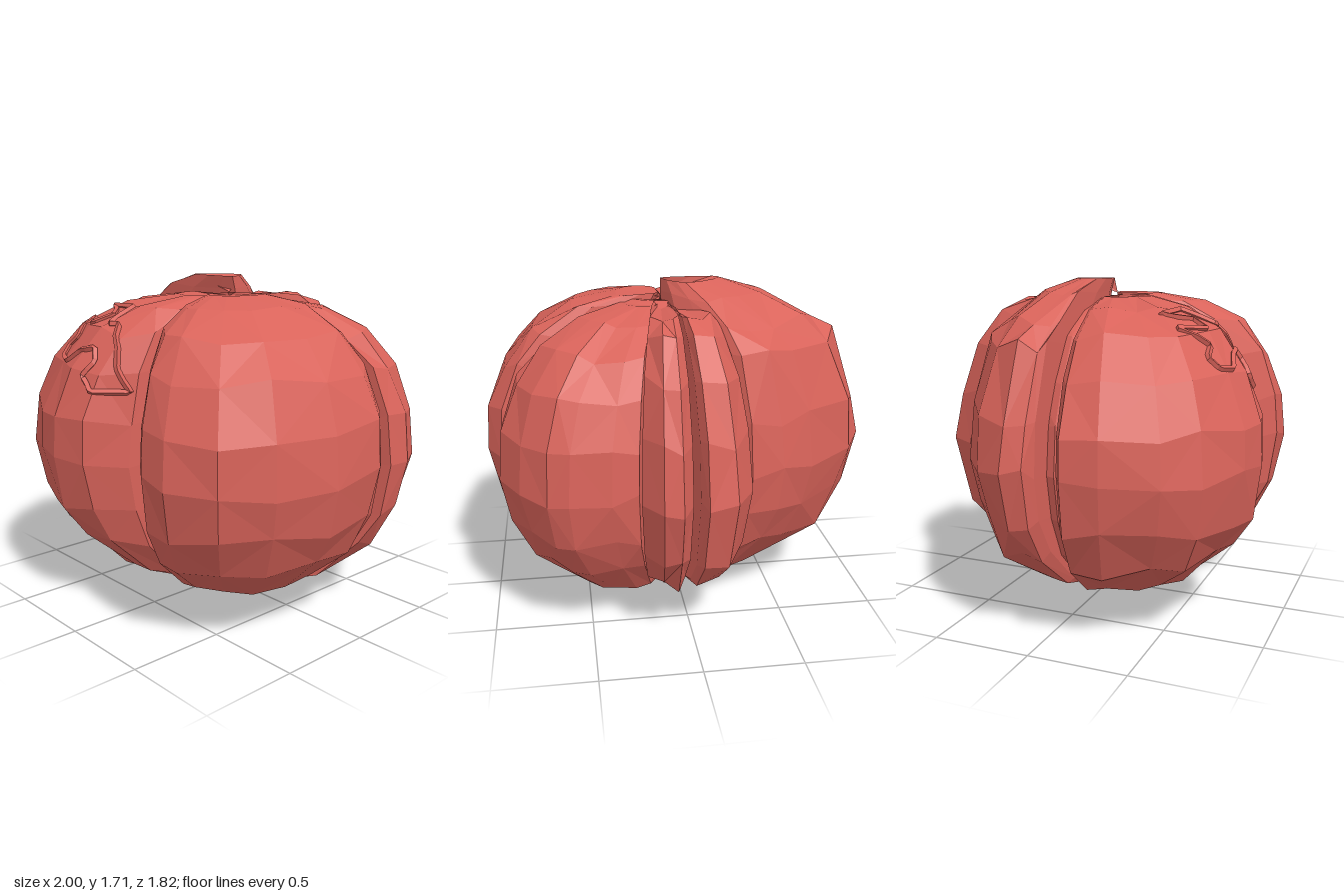
import * as THREE from 'three';

const skin = new THREE.MeshStandardMaterial({ color: 0xd9635a, flatShading: true });
const pivot = [0.07, 0.02];

// [height, scale of the plan outline about the pivot]
const lobeProfile = [[0.02, 0], [0.04, 0.16], [0.18, 0.58], [0.38, 0.83], [0.58, 0.95], [0.82, 1],
  [1.05, 0.98], [1.28, 0.88], [1.46, 0.73], [1.57, 0.5], [1.62, 0.25], [1.6, 0]];
const tallProfile = [[0.03, 0], [0.06, 0.18], [0.19, 0.58], [0.4, 0.84], [0.6, 0.95], [0.85, 1],
  [1.1, 0.97], [1.42, 0.85], [1.53, 0.72], [1.64, 0.5], [1.71, 0.28], [1.63, 0]];
const rearProfile = [[0.25, 0], [0.22, 0.56], [0.3, 0.78], [0.47, 0.92], [0.8, 1], [1.08, 0.95],
  [1.34, 0.83], [1.53, 0.68], [1.6, 0.55], [1.58, 0]];

function seeded(seed) {
  return () => (seed = (seed * 16807) % 2147483647) / 2147483647 - 0.5;
}

// Faceted body: the plan outline (x, z) is scaled about the pivot ring by ring
function segment(name, outline, profile, seed, lift = 0) {
  const rnd = seeded(seed), n = outline.length, pos = [], index = [];
  profile.forEach(([y, s]) => {
    outline.forEach(([x, z]) => {
      const wobble = s > 0.3 && s < 1 ? 1 + rnd() * 0.03 : 1;
      const dy = s > 0.3 ? rnd() * 0.07 * Math.min(1, (s - 0.3) * 2) : 0;
      pos.push(pivot[0] + (x - pivot[0]) * s * wobble, y + lift + dy, pivot[1] + (z - pivot[1]) * s * wobble);
    });
  });
  for (let r = 0; r < profile.length - 1; r++) {
    for (let i = 0; i < n; i++) {
      const a = r * n + i, b = r * n + (i + 1) % n, c = a + n, d = b + n;
      if ((r + i) % 2) index.push(a, b, d, a, d, c);
      else index.push(a, b, c, b, d, c);
    }
  }
  const geo = new THREE.BufferGeometry();
  geo.setAttribute('position', new THREE.Float32BufferAttribute(pos, 3));
  geo.setIndex(index);
  geo.computeVertexNormals();
  const mesh = new THREE.Mesh(geo, skin);
  mesh.name = name;
  return mesh;
}

export function createModel() {
  const group = new THREE.Group();
  group.name = 'lobedFruit';

  // Front lobes
  const frontRight = segment('frontRightLobe', [[0.07, 0.07], [-0.2, 0.09], [-0.55, 0.11], [-0.9, 0.11], [-1, 0.17],
    [-0.98, 0.35], [-0.87, 0.6], [-0.73, 0.75], [-0.45, 0.87], [-0.27, 0.91], [-0.07, 0.87], [0.08, 0.7],
    [0.1, 0.58], [0.095, 0.3]], lobeProfile, 11);
  group.add(frontRight);
  group.add(segment('frontLeftLobe', [[0.1, 0.1], [0.125, 0.3], [0.13, 0.58], [0.2, 0.72], [0.38, 0.85], [0.55, 0.86],
    [0.78, 0.74], [0.93, 0.53], [1, 0.2], [1, -0.1], [0.93, -0.2], [0.8, -0.21], [0.5, -0.14], [0.2, -0.04]],
    lobeProfile, 23, 0.01));

  // Back lobes
  group.add(segment('backLeftLobe', [[0.1, -0.06], [0.4, -0.16], [0.8, -0.25], [0.93, -0.28], [0.93, -0.42],
    [0.83, -0.6], [0.7, -0.72], [0.6, -0.76], [0.4, -0.77], [0.27, -0.74], [0.2, -0.55], [0.1, -0.3], [0.04, -0.1]],
    lobeProfile, 37, -0.02));
  group.add(segment('backRightLobe', [[0.08, -0.05], [0.0, -0.3], [-0.15, -0.5], [-0.3, -0.63], [-0.47, -0.59],
    [-0.64, -0.5], [-0.9, -0.3], [-1, -0.13], [-0.97, -0.03], [-0.9, 0.0], [-0.5, 0.02], [-0.1, 0.0]],
    tallProfile, 41));

  // Narrow twin ribs at the back
  group.add(segment('rearRibRight', [[0.05, -0.1], [0.0, -0.5], [-0.01, -0.82], [-0.04, -0.9], [-0.18, -0.88],
    [-0.28, -0.72], [-0.28, -0.6], [-0.12, -0.3]], rearProfile, 53));
  group.add(segment('rearRibLeft', [[0.14, -0.1], [0.22, -0.5], [0.26, -0.76], [0.17, -0.89], [0.08, -0.91],
    [0.02, -0.8], [0.02, -0.5], [0.04, -0.1]], rearProfile, 59));

  // Inner core closing the floors of the grooves
  const coreOutline = [];
  for (let i = 0; i < 14; i++) {
    const a = (i / 14) * Math.PI * 2;
    coreOutline.push([0.8 * Math.cos(a), 0.05 - 0.52 * Math.sin(a)]);
  }
  group.add(segment('core', coreOutline, lobeProfile, 67, -0.01));

  // Raised wavy outline on the front right lobe, laid onto its surface
  const scar = [[-0.38, 1.55], [-0.18, 1.56], [-0.15, 1.49], [-0.1, 1.49], [-0.03, 1.39], [0, 1.29], [0.06, 1.18],
    [-0.07, 1.18], [-0.15, 1.25], [-0.11, 1.32], [-0.15, 1.38], [-0.24, 1.36], [-0.33, 1.3], [-0.42, 1.31],
    [-0.44, 1.36], [-0.37, 1.41], [-0.44, 1.49], [-0.3, 1.48], [-0.24, 1.52]];
  frontRight.updateMatrixWorld();
  const ray = new THREE.Raycaster(), back = new THREE.Vector3(0, 0, -1);
  const points = [];
  scar.forEach(([x, y], i) => {
    const [nx, ny] = scar[(i + 1) % scar.length];
    for (const t of [0, 0.5]) {
      ray.set(new THREE.Vector3(x + (nx - x) * t, y + (ny - y) * t, 3), back);
      const hit = ray.intersectObject(frontRight)[0];
      if (hit) points.push(hit.point.addScaledVector(hit.face.normal, 0.004));
    }
  });
  const path = new THREE.CatmullRomCurve3(points, true, 'catmullrom', 0.1);
  const ridge = new THREE.Mesh(new THREE.TubeGeometry(path, 120, 0.016, 4, true), skin);
  ridge.name = 'wavyRidge';
  group.add(ridge);

  return group;
}
